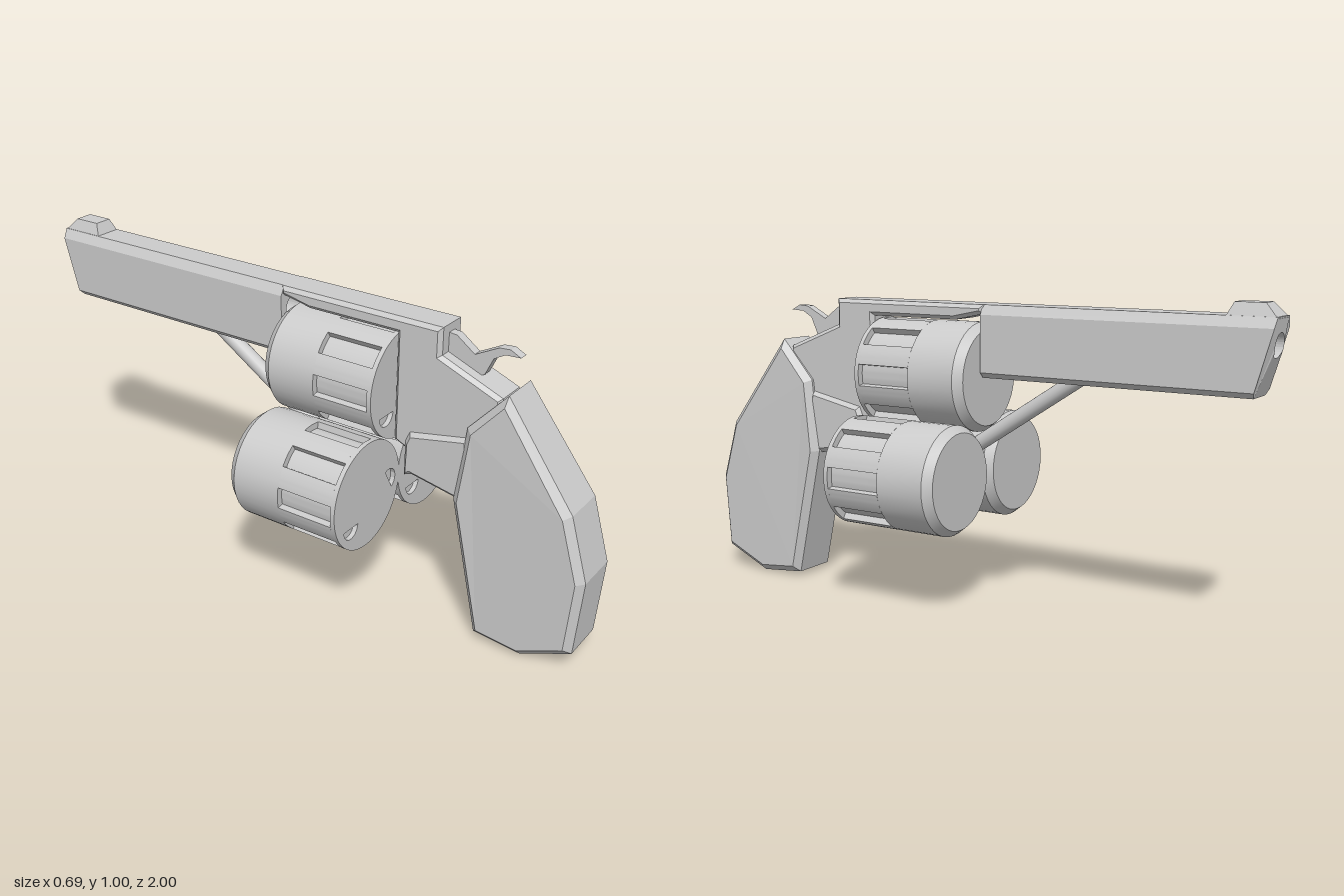
import * as THREE from 'three';
import { toCreasedNormals, mergeGeometries } from 'three/addons/utils/BufferGeometryUtils.js';

const CX = 0.009; // centre plane of the frame

const material = new THREE.MeshStandardMaterial({ color: 0xcccccc });

function add(parent, name, geometry) {
  const mesh = new THREE.Mesh(geometry, material);
  mesh.name = name;
  parent.add(mesh);
  return mesh;
}

const shapeOf = (points) => new THREE.Shape(points.map(([a, b]) => new THREE.Vector2(a, b)));

// Move every vertex by a rule, then rebuild the flat normals
function reshape(geometry, rule) {
  const p = geometry.attributes.position;
  const v = new THREE.Vector3();
  for (let i = 0; i < p.count; i++) {
    rule(v.fromBufferAttribute(p, i));
    p.setXYZ(i, v.x, v.y, v.z);
  }
  geometry.computeVertexNormals();
  return geometry;
}

// Side profile given as [z, y], extruded across x with chamfered edges
function slab(profile, halfWidth, bevel) {
  const geometry = new THREE.ExtrudeGeometry(shapeOf(profile), {
    depth: 2 * (halfWidth - bevel), bevelEnabled: bevel > 0, bevelThickness: bevel,
    bevelSize: bevel, bevelOffset: -bevel, bevelSegments: 1,
  });
  geometry.translate(0, 0, -(halfWidth - bevel));
  geometry.rotateY(-Math.PI / 2);
  return geometry.translate(CX, 0, 0);
}

// Barrel: chamfered section with a bore, muzzle raked back towards the bottom
function barrelGeometry() {
  const section = shapeOf([
    [-0.046, 0.74], [0.046, 0.74], [0.063, 0.757], [0.063, 0.935],
    [0.046, 0.965], [-0.046, 0.965], [-0.063, 0.935], [-0.063, 0.757],
  ]);
  section.holes.push(new THREE.Path().absarc(0, 0.885, 0.036, 0, Math.PI * 2, true));
  const geometry = new THREE.ExtrudeGeometry(section, { depth: 0.93, bevelEnabled: false, curveSegments: 16 });
  geometry.translate(CX, 0, -1);
  return reshape(geometry, (v) => {
    if (v.z < -0.99) v.z += v.y < 0.87 ? 0.01 + 0.05 * (0.87 - v.y) / 0.13 : 0.01 * (0.965 - v.y) / 0.095;
  });
}

// Front sight: a block whose top is narrower and shorter than its base
function sightGeometry() {
  const geometry = new THREE.BoxGeometry(0.092, 0.042, 0.15).translate(CX, 0.981, -0.925);
  return reshape(geometry, (v) => {
    if (v.y < 0.99) return;
    v.x = CX + (v.x - CX) * 0.65;
    v.z = v.z > -0.9 ? -0.87 : -0.96;
  });
}

// Round drum: chamfered front, fluted middle and a rear plate with two small recesses
function drumGeometry() {
  const R = 0.173, inner = 0.152, flutes = 8, half = 0.2, step = Math.PI * 2 / flutes;
  const front = new THREE.LatheGeometry(
    [[0, -0.062], [0.152, -0.062], [R, -0.035], [R, 0.13], [0, 0.13]].map(([r, y]) => new THREE.Vector2(r, y)), 40);
  front.rotateX(Math.PI / 2);

  const ring = new THREE.Shape();
  for (let i = 0; i < flutes; i++) {
    const a = i * step;
    ring.absarc(0, 0, inner, a - half, a + half, false);
    ring.absarc(0, 0, R, a + half, a + step - half, false);
  }
  ring.closePath();
  const middle = new THREE.ExtrudeGeometry(ring, { depth: 0.19, bevelEnabled: false, curveSegments: 4 });
  middle.translate(0, 0, 0.13);

  const disc = new THREE.Shape().absarc(0, 0, R, 0, Math.PI * 2, false);
  for (const [x, y, turn] of [[-0.085, -0.075, Math.PI], [0.115, 0, -Math.PI / 3]]) {
    const recess = new THREE.Path().absarc(x, y, 0.036, turn, turn + Math.PI, false);
    recess.closePath();
    disc.holes.push(recess);
  }
  const plate = new THREE.ExtrudeGeometry(disc, { depth: 0.015, bevelEnabled: false, curveSegments: 40 });
  plate.translate(0, 0, 0.32);
  return toCreasedNormals(mergeGeometries([front.toNonIndexed(), middle, plate]), 0.4);
}

export function createModel() {
  const model = new THREE.Group();
  model.name = 'tripleDrumToyPistol';

  add(model, 'barrel', barrelGeometry());
  add(model, 'frontSight', sightGeometry());

  // Frame with top strap and rear tail
  add(model, 'frame', slab([
    [0.49, 0.965], [0.49, 0.88], [0.69, 0.80], [0.70, 0.72], [0.60, 0.47], [0.385, 0.47],
    [0.385, 0.55], [0.342, 0.57], [0.342, 0.915], [0.03, 0.915], [-0.075, 0.937], [-0.075, 0.965],
  ], 0.06, 0.012));
  add(model, 'lowerFrame', slab([
    [0.60, 0.655], [0.40, 0.615], [0.385, 0.58], [0.385, 0.465], [0.41, 0.475], [0.57, 0.445], [0.62, 0.46],
  ], 0.073, 0.014));

  // Hammer with a curved thumb spur
  add(model, 'hammer', slab([
    [0.718, 0.918], [0.685, 0.935], [0.65, 0.932], [0.575, 0.893], [0.515, 0.937], [0.48, 0.94],
    [0.48, 0.86], [0.56, 0.82], [0.61, 0.84], [0.635, 0.895], [0.67, 0.915],
  ], 0.015, 0));

  // Grip, slightly thinner towards the top
  const grip = slab([
    [0.715, 0.822], [0.94, 0.52], [1.0, 0.32], [0.982, 0.072], [0.82, 0.0],
    [0.66, 0.016], [0.565, 0.45], [0.595, 0.69],
  ], 0.095, 0.022);
  add(model, 'grip', reshape(grip, (v) => {
    v.x = CX + (v.x - CX) * (1 - 0.12 * Math.max(0, (v.y - 0.5) / 0.3));
  }));

  // Three drums in a triangle
  const drum = drumGeometry();
  [['topDrum', 0.005, 0.735], ['rightDrum', -0.172, 0.433], ['leftDrum', 0.17, 0.43]].forEach(([name, x, y]) => {
    add(model, name, drum).position.set(x, y, 0);
  });

  // Slanted rod from the drums to the barrel
  const from = new THREE.Vector3(CX, 0.5, 0.01);
  const to = new THREE.Vector3(CX, 0.765, -0.4);
  const rod = add(model, 'drumRod', new THREE.CylinderGeometry(0.025, 0.025, from.distanceTo(to), 16));
  rod.position.copy(from).lerp(to, 0.5);
  rod.quaternion.setFromUnitVectors(new THREE.Vector3(0, 1, 0), to.sub(from).normalize());

  return model;
}
